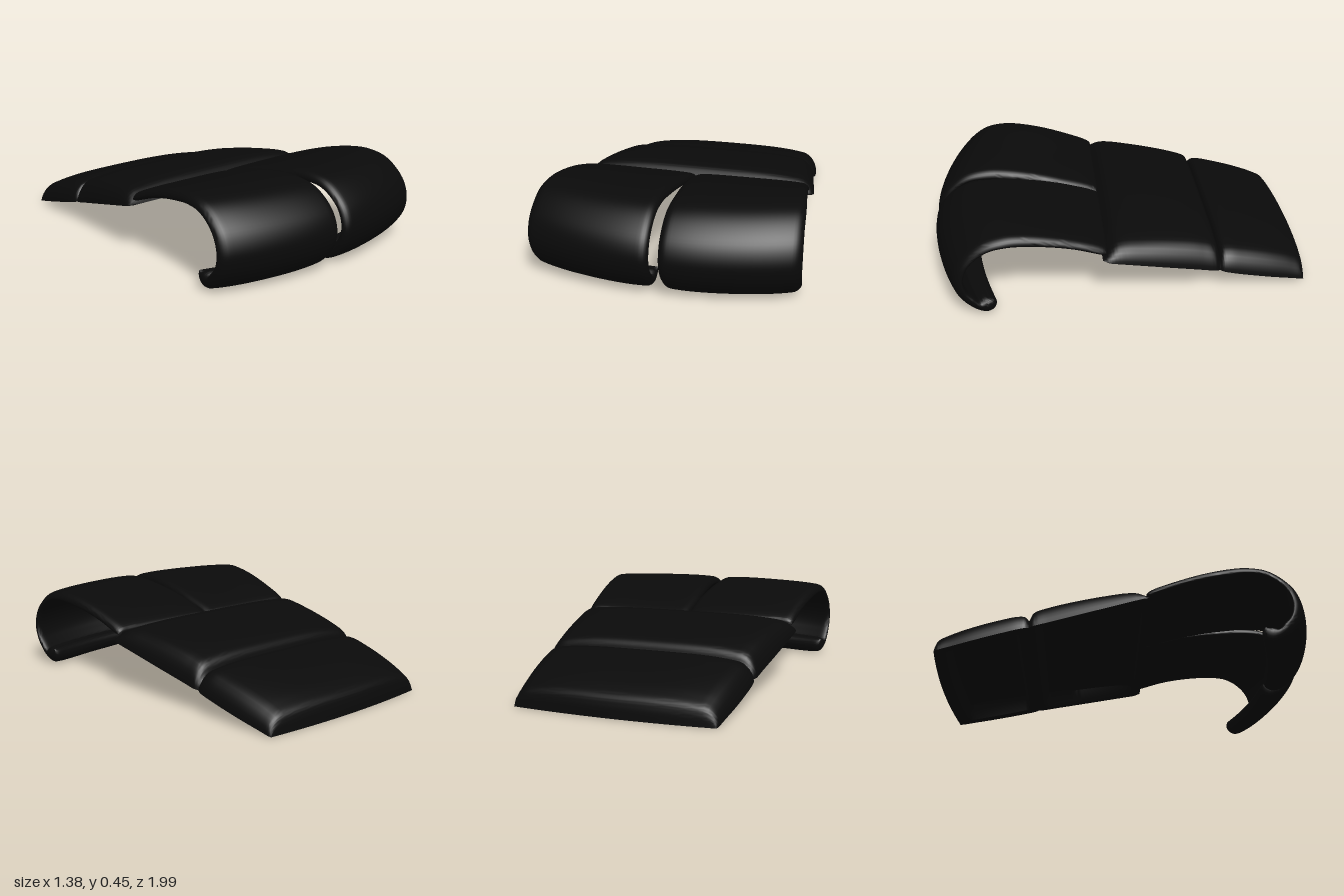
import * as THREE from 'three';
import { toCreasedNormals } from 'three/addons/utils/BufferGeometryUtils.js';

const material = new THREE.MeshStandardMaterial({ color: 0x0a0a0a });
const { lerp, clamp, smoothstep } = THREE.MathUtils;

// Underside line shared by the two flat panels
const baseY = z => 0.24 + 0.2345 * z;

// Bows the front and rear edges back towards the middle at the sides
function bow(x, z) {
  const front = clamp((z - 0.1) / 0.65, 0, 1);
  const rear = clamp((-z - 0.5) / 0.5, 0, 1);
  return x * x * (0.1 * rear - 0.265 * front);
}

// Lofts a padded panel from back to front. Each profile row is
// [z, y, halfWidth] of the upper skin, plus [z, y] of the lower skin.
// seam: where the two skins meet at the sides (0 = lower, 1 = upper)
function panel(name, profile, span, { rows, edge, crown, seam, recess, rim }) {
  const curve = pick => new THREE.CatmullRomCurve3(
    profile.map(pick), false, 'centripetal');
  const upper = curve(p => new THREE.Vector3(p[2], p[1], p[0]));
  const lower = curve(p => p.length > 3
    ? new THREE.Vector3(p[2], p[4], p[3])
    : new THREE.Vector3(p[2], baseY(p[0]), p[0]));
  const zStart = profile[0][0], zEnd = profile[profile.length - 1][0];
  const half = 18, ring = half * 4 + 1;
  const positions = [], index = [];

  for (let i = 0; i <= rows; i++) {
    const o = upper.getPoint(i / rows), n = lower.getPoint(i / rows);
    const [x0, x1] = span(o.x, o.z);
    for (let j = 0; j < ring; j++) {
      const onTop = j <= half * 2;
      const s = onTop ? j / half - 1 : 3 - j / half;
      const u = Math.sin(s * Math.PI / 2);
      const x = lerp(x0, x1, (u + 1) / 2);
      const inset = Math.min(x - x0, x1 - x);
      // rounded side edge and a slight crown
      const t = clamp(1 - inset / edge, 0, 1);
      const round = Math.sqrt(1 - t * t);
      const top = lerp(seam, 1 - crown * u ** 4, round);
      // hollow underside inside a rim
      const ends = Math.min(n.z - zStart, zEnd - n.z);
      const hollow = recess * smoothstep(inset, rim, rim + 0.04)
        * smoothstep(ends, rim, rim + 0.04);
      const k = onTop ? top : lerp(seam, hollow * top, round);
      const z = lerp(n.z, o.z, k);
      positions.push(x, lerp(n.y, o.y, k), z + bow(x, z));
    }
  }
  for (let i = 0; i < rows; i++) {
    for (let j = 0; j < ring - 1; j++) {
      const a = i * ring + j, b = a + ring;
      index.push(a, b, a + 1, b, b + 1, a + 1);
    }
  }
  const geometry = new THREE.BufferGeometry();
  geometry.setAttribute('position', new THREE.Float32BufferAttribute(positions, 3));
  geometry.setIndex(index);
  const mesh = new THREE.Mesh(toCreasedNormals(geometry, 0.7), material);
  mesh.name = name;
  return mesh;
}

const rearProfile = [
  [-0.998, 0.006, 0.525], [-0.994, 0.07, 0.525], [-0.98, 0.11, 0.53],
  [-0.92, 0.145, 0.538], [-0.8, 0.187, 0.555], [-0.65, 0.225, 0.57],
  [-0.56, 0.241, 0.575], [-0.52, 0.235, 0.573], [-0.498, 0.2, 0.562],
  [-0.495, 0.124, 0.56],
];

const middleProfile = [
  [-0.495, 0.124, 0.565], [-0.495, 0.22, 0.565], [-0.475, 0.265, 0.576],
  [-0.4, 0.295, 0.585], [-0.25, 0.326, 0.604], [-0.1, 0.346, 0.622],
  [0, 0.353, 0.634], [0.05, 0.345, 0.64], [0.09, 0.315, 0.643],
  [0.13, 0.2705, 0.63],
];

const frontProfile = [
  [0.1, 0.285, 0.605, 0.1, 0.285], [0.1, 0.322, 0.615, 0.11, 0.285],
  [0.13, 0.342, 0.622, 0.13, 0.29], [0.3, 0.395, 0.635, 0.3, 0.34],
  [0.45, 0.43, 0.648, 0.45, 0.37], [0.6, 0.453, 0.66, 0.6, 0.388],
  [0.72, 0.457, 0.67, 0.7, 0.395], [0.83, 0.435, 0.68, 0.8, 0.388],
  [0.91, 0.385, 0.685, 0.87, 0.353], [0.975, 0.31, 0.69, 0.925, 0.295],
  [1.002, 0.22, 0.692, 0.948, 0.22], [0.987, 0.14, 0.69, 0.932, 0.155],
  [0.945, 0.075, 0.688, 0.9, 0.118], [0.885, 0.025, 0.684, 0.872, 0.09],
  [0.83, 0.004, 0.68, 0.855, 0.098], [0.79, 0.02, 0.675, 0.84, 0.103],
  [0.775, 0.055, 0.67, 0.825, 0.1], [0.785, 0.088, 0.668, 0.815, 0.1],
  [0.805, 0.1, 0.665, 0.805, 0.1],
];

export function createModel() {
  const model = new THREE.Group();
  model.name = 'paddedCover';

  // Two flat hollow panels
  const flat = { rows: 60, edge: 0.08, crown: 0.3, seam: 0, recess: 0.75 };
  const fullSpan = w => [-w, w];
  model.add(panel('rearPanel', rearProfile, fullSpan, { ...flat, rim: 0.05 }));
  model.add(panel('middlePanel', middleProfile, fullSpan, { ...flat, rim: 0.02 }));

  // Two curled front flaps with a slit that widens forwards
  const curled = { rows: 90, edge: 0.04, crown: 0.15, seam: 0.3, recess: 0, rim: 0 };
  const slit = z => 0.024 * clamp((z - 0.3) / 0.38, 0, 1);
  model.add(panel('leftFrontFlap', frontProfile, (w, z) => [slit(z), w], curled));
  model.add(panel('rightFrontFlap', frontProfile, (w, z) => [-w, -slit(z)], curled));
  return model;
}
